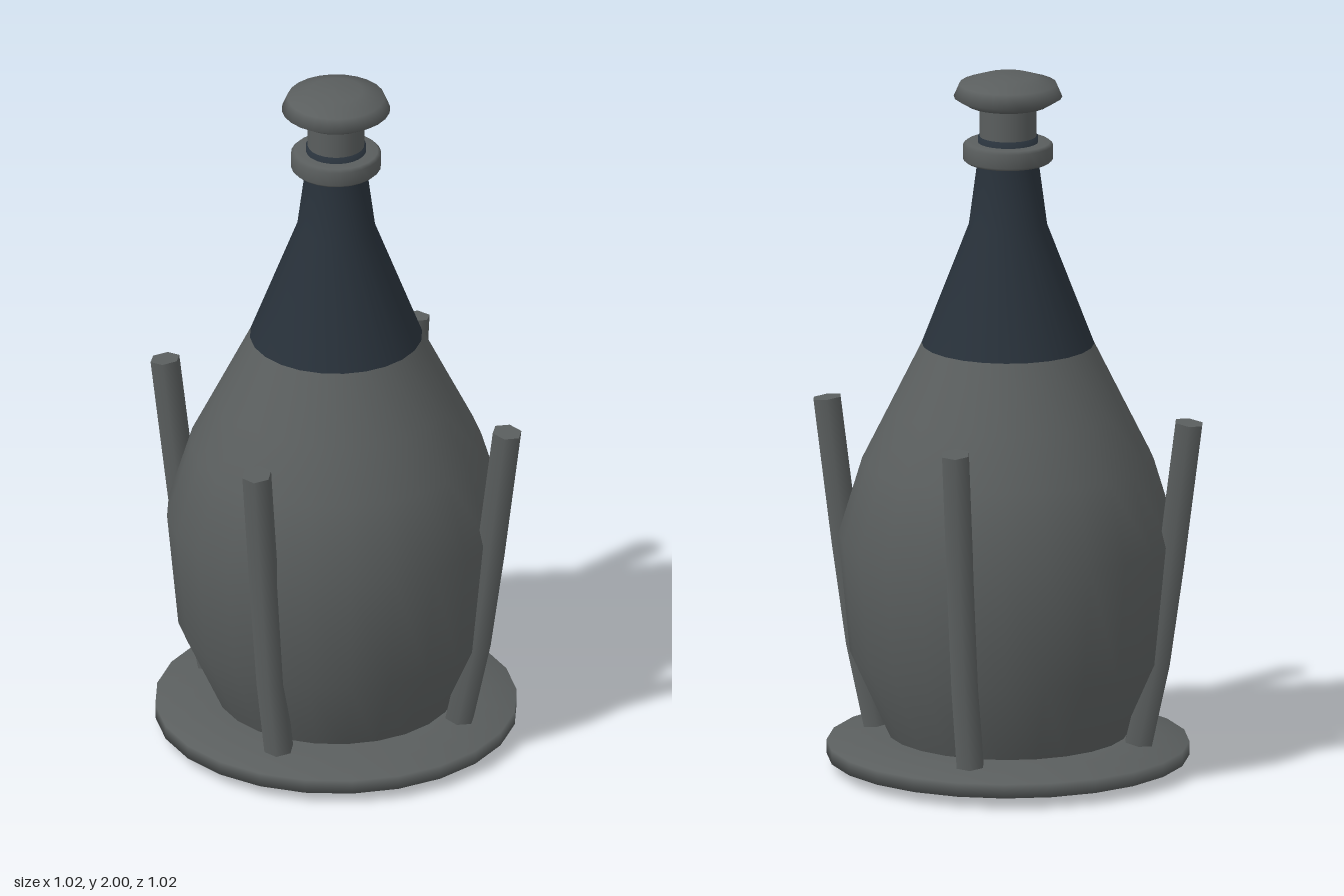
import * as THREE from 'three';

const glass = new THREE.MeshStandardMaterial({ color: 0x5a5e5e });
glass.name = 'smoky grey';
const foil = new THREE.MeshStandardMaterial({ color: 0x28313a });
foil.name = 'dark blue foil';

// Turned part from [radius, height] points, listed bottom to top
function turned(name, material, points) {
  const profile = points.map(([r, y]) => new THREE.Vector2(r, y));
  const mesh = new THREE.Mesh(new THREE.LatheGeometry(profile, 24), material);
  mesh.name = name;
  return mesh;
}

// Six-sided bent post; path gives [distance from the axis, height]
function post(angle) {
  const path = [[0.38, 0.08], [0.435, 0.33], [0.477, 0.62], [0.53, 1.03]];
  const rings = path.length - 1;
  const geometry = new THREE.CylinderGeometry(0.043, 0.043, 1, 6, rings);
  geometry.rotateY(Math.PI / 2);
  const position = geometry.attributes.position;
  const dx = Math.cos(angle), dz = Math.sin(angle);
  for (let i = 0; i < position.count; i++) {
    const [r, y] = path[Math.round((position.getY(i) + 0.5) * rings)];
    const x = position.getX(i), z = position.getZ(i);
    // Lean each ring a little so its ends stay square to the post
    const lean = (x * dx + z * dz) * -0.13;
    position.setXYZ(i, x + r * dx, y + lean, z + r * dz);
  }
  const mesh = new THREE.Mesh(geometry, glass);
  mesh.name = 'holderPost';
  return mesh;
}

export function createModel() {
  const model = new THREE.Group();
  model.name = 'bottleInHolder';

  // Round foot plate
  model.add(turned('basePlate', glass, [
    [0, 0], [0.33, 0], [0.51, 0.032], [0.51, 0.072], [0.34, 0.1], [0, 0.1],
  ]));

  // Bottle body and wrapped neck
  model.add(turned('bottleBody', glass, [
    [0.33, 0.08], [0.445, 0.33], [0.477, 0.67], [0.41, 0.89], [0.335, 1.04], [0.243, 1.225],
  ]));
  model.add(turned('neckFoil', foil, [
    [0.243, 1.225], [0.11, 1.57], [0.085, 1.76], [0.085, 1.825], [0, 1.83],
  ]));

  // Lip ring
  model.add(turned('neckCollar', glass, [
    [0.08, 1.752], [0.118, 1.752], [0.127, 1.76], [0.127, 1.8], [0.118, 1.808], [0.08, 1.808],
  ]));

  // Stopper with its mushroom head
  model.add(turned('stopperStem', glass, [[0.08, 1.82], [0.08, 1.93]]));
  model.add(turned('stopperHead', glass, [
    [0, 1.917], [0.115, 1.917], [0.153, 1.94], [0.137, 1.977], [0.075, 1.998], [0, 2],
  ]));

  // Four posts on the diagonals
  for (let i = 0; i < 4; i++) model.add(post(Math.PI / 4 + i * Math.PI / 2));

  return model;
}
